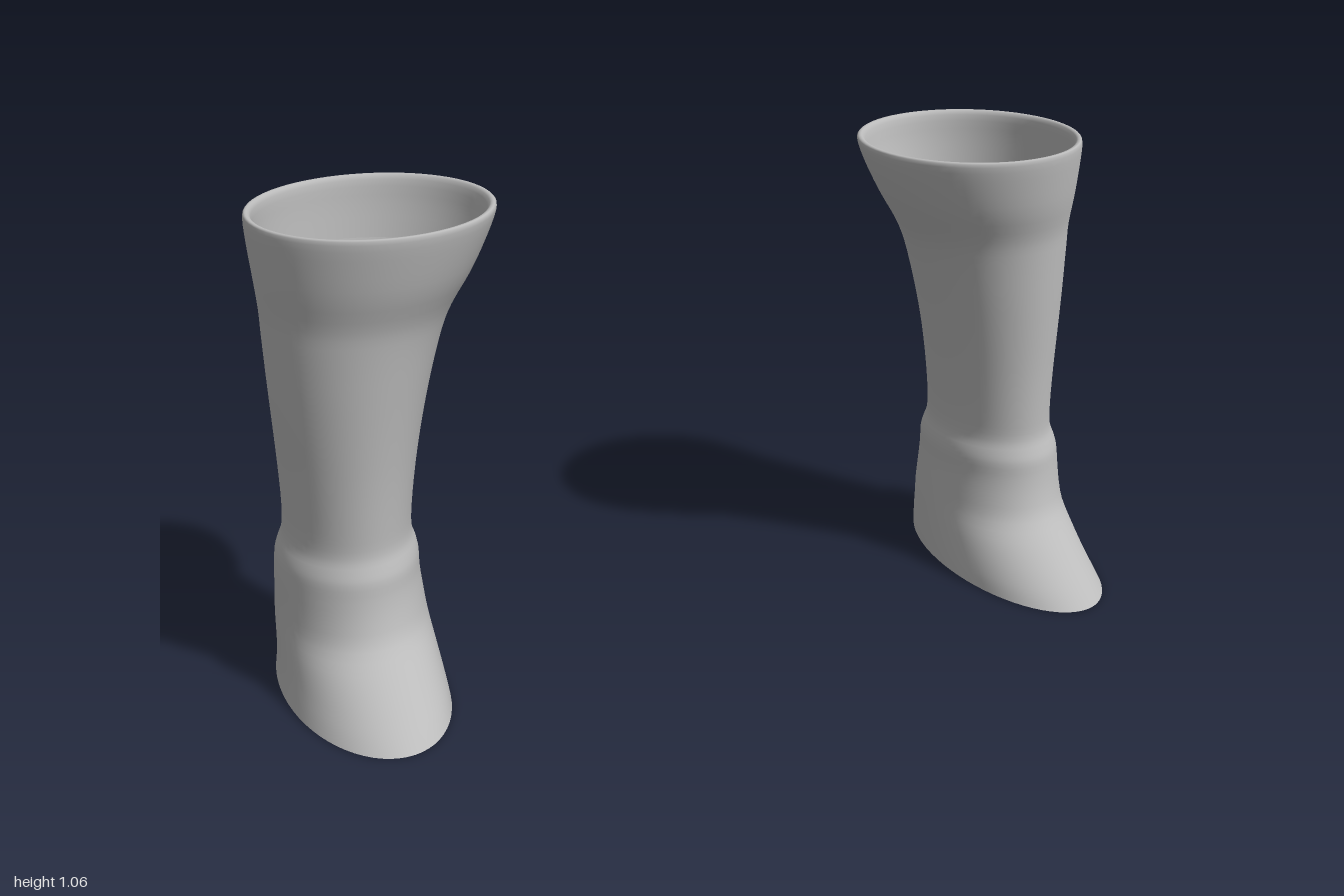
import * as THREE from 'three';

// Boot outline by height: [y, inner x, outer x, back z, front z]
const SECTIONS = [
  [0.006, 0.65, 1.0, -0.346, 0.346],
  [0.03, 0.65, 0.995, -0.341, 0.313],
  [0.06, 0.651, 0.99, -0.334, 0.268],
  [0.1, 0.653, 0.986, -0.324, 0.21],
  [0.15, 0.656, 0.982, -0.313, 0.146],
  [0.2, 0.66, 0.978, -0.305, 0.122],
  [0.25, 0.664, 0.975, -0.301, 0.11],
  [0.29, 0.664, 0.971, -0.298, 0.105],
  [0.315, 0.668, 0.964, -0.288, 0.096],
  [0.345, 0.676, 0.953, -0.278, 0.086],
  [0.4, 0.674, 0.949, -0.275, 0.086],
  [0.5, 0.66, 0.952, -0.275, 0.09],
  [0.6, 0.641, 0.957, -0.278, 0.097],
  [0.7, 0.617, 0.962, -0.285, 0.105],
  [0.8, 0.587, 0.966, -0.293, 0.113],
  [0.86, 0.56, 0.968, -0.301, 0.121],
  [0.93, 0.516, 0.975, -0.318, 0.143],
  [1.0, 0.479, 0.982, -0.335, 0.158],
  [1.055, 0.457, 0.985, -0.345, 0.167],
  // rolled rim, tucked back against the inside of the shaft
  [1.066, 0.464, 0.979, -0.339, 0.161],
  [1.055, 0.476, 0.968, -0.328, 0.149],
  [1.0, 0.493, 0.969, -0.322, 0.145],
  [0.93, 0.522, 0.969, -0.312, 0.137],
];
const SIDES = 64;
const STEPS = 3;

// Smoothly interpolates one column of the outline table
function sample(column, t) {
  const last = SECTIONS.length - 1;
  const i = Math.min(Math.floor(t), last - 1);
  const at = (k) => SECTIONS[Math.max(0, Math.min(last, k))][column];
  const f = t - i;
  const a = at(i - 1), b = at(i), c = at(i + 1), d = at(i + 2);
  return b + 0.5 * f * (c - a + f * (2 * a - 5 * b + 4 * c - d + f * (3 * (b - c) + d - a)));
}

// Lofts elliptical rings into an open tube; side is +1 (left) or -1 (right)
function bootGeometry(side) {
  const positions = [], indices = [];
  const rings = (SECTIONS.length - 1) * STEPS;
  for (let r = 0; r <= rings; r++) {
    const [y, xi, xo, zb, zf] = [0, 1, 2, 3, 4].map((c) => sample(c, r / STEPS));
    const tilt = 0.01 * Math.max(0, 1 - y / 0.1); // sole edge dips toward the toe
    for (let s = 0; s < SIDES; s++) {
      const a = (s / SIDES) * Math.PI * 2;
      const x = (xi + xo) / 2 + ((xo - xi) / 2) * Math.cos(a);
      const z = (zb + zf) / 2 + ((zf - zb) / 2) * Math.sin(a);
      positions.push(side * x, Math.max(0, y - tilt * z), z);
      if (r === rings) continue;
      const p = r * SIDES + s, q = r * SIDES + ((s + 1) % SIDES);
      const u = p + SIDES, v = q + SIDES;
      if (side > 0) indices.push(p, u, q, q, u, v);
      else indices.push(p, q, u, q, v, u);
    }
  }
  const geometry = new THREE.BufferGeometry();
  geometry.setAttribute('position', new THREE.Float32BufferAttribute(positions, 3));
  geometry.setIndex(indices);
  geometry.computeVertexNormals();
  return geometry;
}

export function createModel() {
  const group = new THREE.Group();
  group.name = 'boots';
  const grey = new THREE.MeshStandardMaterial({ color: 0xbbbbbb, side: THREE.DoubleSide });
  grey.name = 'grey';
  for (const side of [1, -1]) {
    const boot = new THREE.Mesh(bootGeometry(side), grey);
    boot.name = side > 0 ? 'leftBoot' : 'rightBoot';
    group.add(boot);
  }
  return group;
}
